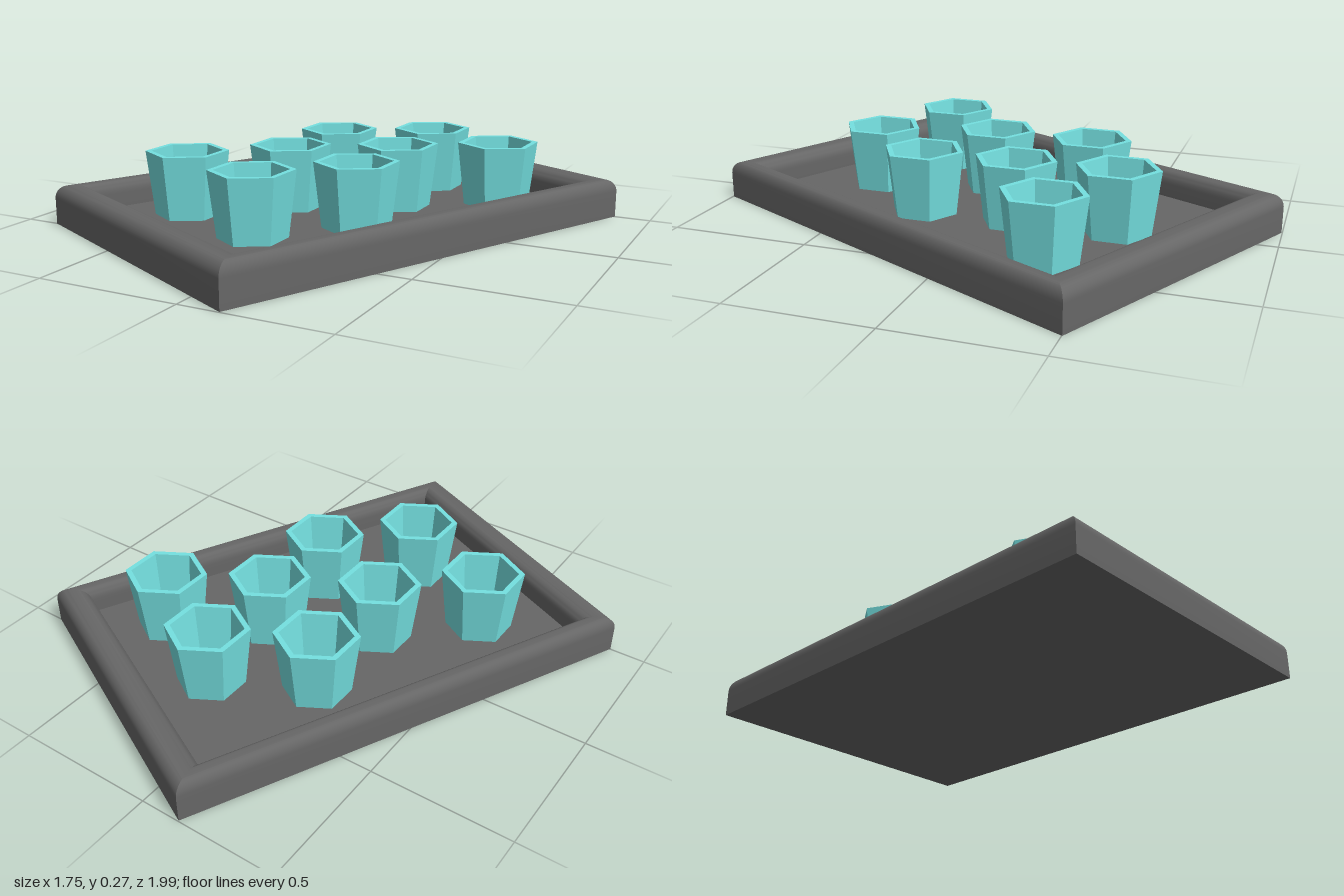
import * as THREE from 'three';
import { toCreasedNormals } from 'three/addons/utils/BufferGeometryUtils.js';

const FLOOR = 0.045;
const profile = (pts) => pts.map(([x, y]) => new THREE.Vector2(x, y));

// Rectangular tray: a four-sided lathe whose profile is a fraction of the half width / half depth
function trayGeometry() {
  const pts = [[0, 0], [1, 0]];
  const steps = 8;
  // rounded outer edge of the rim
  for (let i = 0; i <= steps; i++) {
    const a = (i / steps) * Math.PI / 2;
    pts.push([0.95 + 0.05 * Math.cos(a), 0.095 + 0.045 * Math.sin(a)]);
  }
  // rounded inner edge of the rim
  for (let i = 0; i <= steps; i++) {
    const a = (1 + i / steps) * Math.PI / 2;
    pts.push([0.92 + 0.05 * Math.cos(a), 0.095 + 0.045 * Math.sin(a)]);
  }
  pts.push([0.87, FLOOR], [0, FLOOR]);
  const geo = new THREE.LatheGeometry(profile(pts), 4, Math.PI / 4);
  geo.scale(0.565 * Math.SQRT2, 1, 0.834 * Math.SQRT2);
  return toCreasedNormals(geo, 0.5);
}

// Hexagonal tapered cup with a thin lip and a hollow inside
function cupGeometry() {
  const pts = [[0, 0], [0.118, 0], [0.145, 0.227], [0.124, 0.227], [0.104, 0.03], [0, 0.03]];
  return new THREE.LatheGeometry(profile(pts), 6);
}

export function createModel() {
  const model = new THREE.Group();
  model.name = 'trayWithCups';

  const trayMat = new THREE.MeshStandardMaterial({ color: 0x666666 });
  const cupMat = new THREE.MeshStandardMaterial({ color: 0x74e0e0, flatShading: true });

  const tray = new THREE.Mesh(trayGeometry(), trayMat);
  tray.name = 'tray';
  tray.rotation.y = -0.454;
  model.add(tray);

  // Cups scattered over the tray: [x, z]
  const cups = new THREE.Group();
  cups.name = 'cups';
  const cupGeo = cupGeometry();
  const spots = [
    [0.156, -0.485], [-0.161, -0.313], [0.477, -0.326], [0.167, -0.135],
    [-0.172, 0.048], [0.167, 0.2], [-0.437, 0.308], [-0.077, 0.467],
  ];
  spots.forEach(([x, z], i) => {
    const cup = new THREE.Mesh(cupGeo, cupMat);
    cup.name = `cup${i + 1}`;
    cup.position.set(x, FLOOR, z);
    cups.add(cup);
  });
  model.add(cups);
  return model;
}
